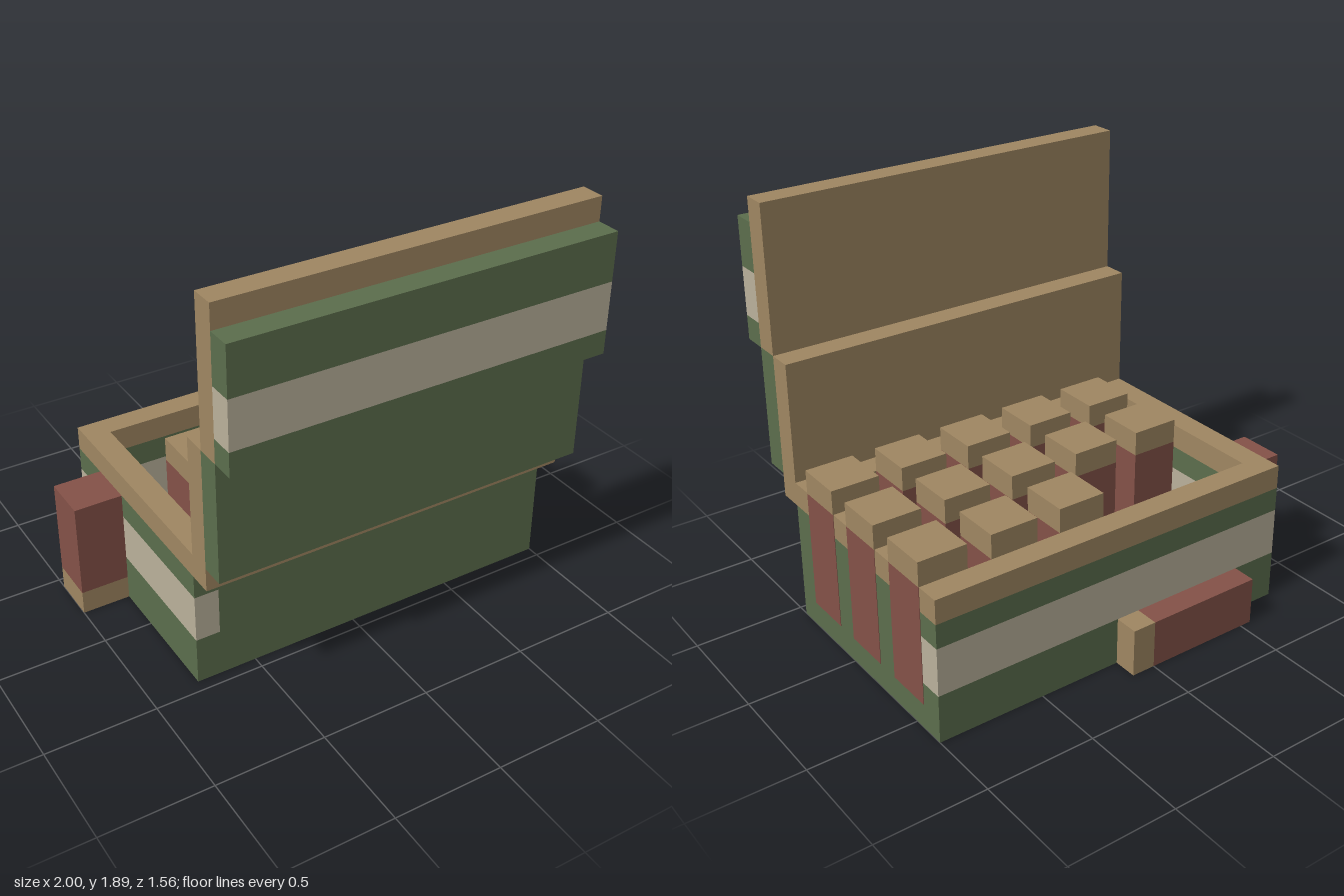
import * as THREE from 'three';

const U = 1 / 9; // block size

const paint = (name, color) => {
  const m = new THREE.MeshStandardMaterial({ color });
  m.name = name;
  return m;
};

export function createModel() {
  const green = paint('olive green', 0x5c6e4d);
  const cream = paint('cream', 0xbbb29c);
  const tan = paint('brass tan', 0xa08762);
  const red = paint('shell red', 0x855248);
  const brown = paint('dark brown', 0x635640);

  const model = new THREE.Group();
  model.name = 'openShellBox';

  // Box between two corners, given in block units
  function block(parent, name, mat, [x0, x1], [y0, y1], [z0, z1]) {
    const mesh = new THREE.Mesh(
      new THREE.BoxGeometry((x1 - x0) * U, (y1 - y0) * U, (z1 - z0) * U), mat);
    mesh.position.set((x0 + x1) / 2 * U, (y0 + y1) / 2 * U, (z0 + z1) / 2 * U);
    mesh.name = name;
    parent.add(mesh);
  }
  function group(name) {
    const g = new THREE.Group();
    g.name = name;
    model.add(g);
    return g;
  }

  // Case: floor, four walls and a rim; the back and right walls carry a stripe
  const box = group('case');
  block(box, 'floor', brown, [-6, 8], [0, 1], [-5, 3]);
  block(box, 'frontWall', green, [-6, 9], [0, 5], [3, 4]);
  block(box, 'leftWall', green, [8, 9], [0, 5], [-5, 3]);
  for (const [mat, y] of [[green, [0, 2]], [cream, [2, 4]], [green, [4, 5]]]) {
    const part = mat === cream ? 'Stripe' : 'Wall';
    block(box, 'back' + part, mat, [-6, 9], y, [-6, -5]);
    block(box, 'right' + part, mat, [-7, -6], y, [-6, 4]);
  }
  block(box, 'frontRim', tan, [-7, 9], [5, 6], [3, 4]);
  block(box, 'backRim', tan, [-7, 9], [5, 6], [-6, -5]);
  block(box, 'rightRim', tan, [-7, -6], [5, 6], [-5, 3]);
  block(box, 'leftRim', tan, [8, 9], [5, 6], [-5, 3]);

  // Lid folded up at the front, in two steps
  const lid = group('lid');
  block(lid, 'lowerLining', tan, [-7, 9], [5, 11], [4, 5]);
  block(lid, 'lowerCover', green, [-7, 9], [6, 11], [5, 6]);
  block(lid, 'upperLining', tan, [-7, 9], [11, 17], [5, 6]);
  block(lid, 'upperCoverBottom', green, [-7, 9], [11, 12], [6, 7]);
  block(lid, 'upperCoverStripe', cream, [-7, 9], [12, 14], [6, 7]);
  block(lid, 'upperCoverTop', green, [-7, 9], [14, 16], [6, 7]);

  // Shells in rows; two are missing from the back row
  const shells = group('shells');
  for (const z of [-5, -2, 1]) {
    for (let x = -5; x <= 7; x += 3) {
      if (z === -5 && x < 1) continue;
      const xs = [x, x + (x === 7 ? 2.02 : 2)]; // end column shows through the wall
      block(shells, 'shellBody', red, xs, [1.05, 6], [z, z + 2]);
      block(shells, 'shellCap', tan, xs, [6, 7], [z, z + 2]);
    }
  }

  // Loose shells: one standing on its cap, one lying behind the case
  const loose = group('looseShells');
  block(loose, 'standingCap', tan, [-9, -7], [0, 1], [-4, -2]);
  block(loose, 'standingBody', red, [-9, -7], [1, 5], [-4, -2]);
  block(loose, 'lyingBody', red, [-5, 0], [0, 2], [-7, -6]);
  block(loose, 'lyingCap', tan, [0, 1], [0, 2], [-7, -6]);

  return model;
}
